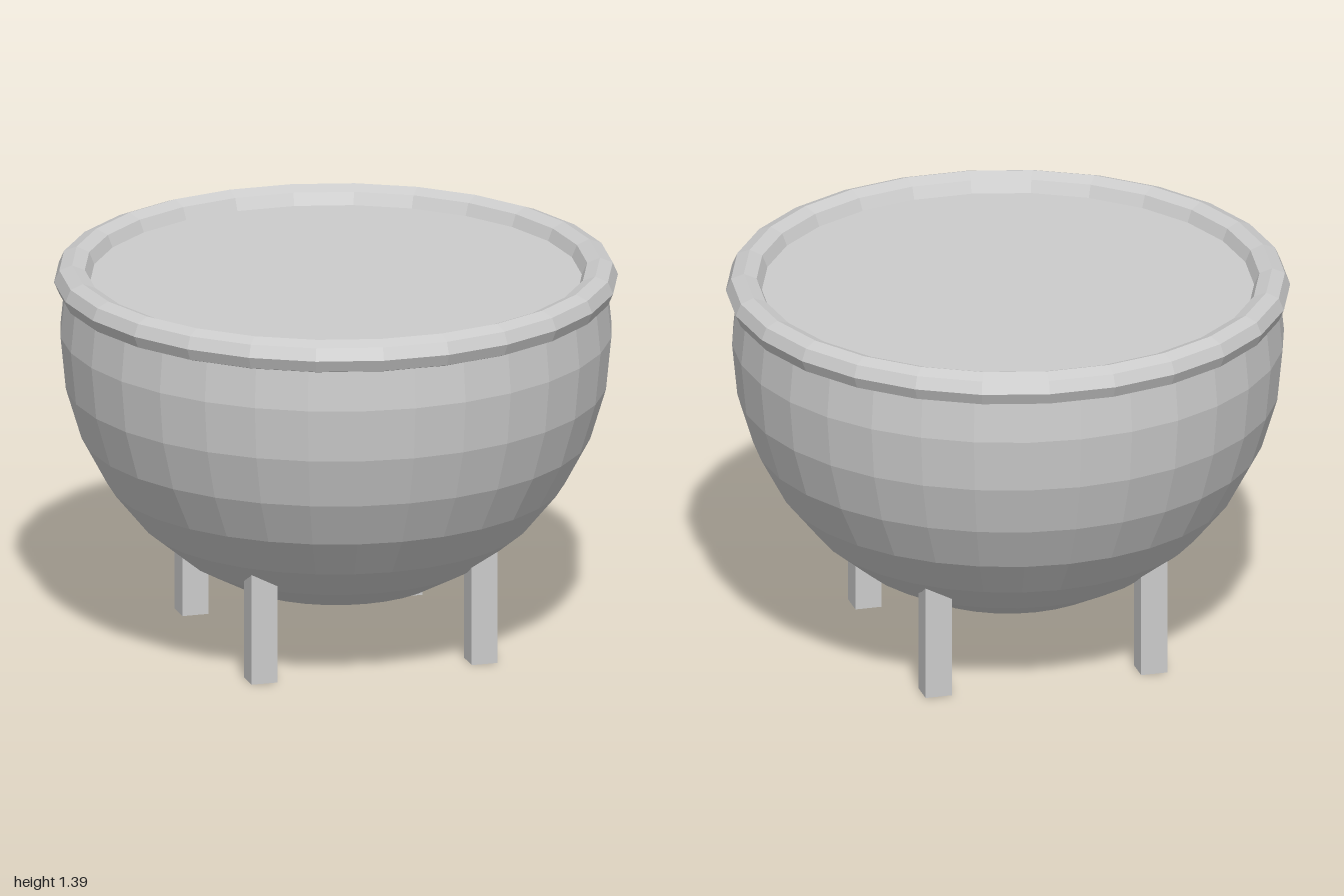
import * as THREE from 'three';

export function createModel() {
  const model = new THREE.Group();
  const material = new THREE.MeshStandardMaterial({ color: 0xcccccc, flatShading: true });

  function add(name, geometry, x, y, z) {
    const mesh = new THREE.Mesh(geometry, material);
    mesh.name = name;
    mesh.position.set(x, y, z);
    model.add(mesh);
    return mesh;
  }

  // Bowl: a faceted sphere cut one ring above its equator
  const radius = 0.98, centreY = 1.14, step = Math.PI / 16;
  add('bowl', new THREE.SphereGeometry(radius, 32, 9, 0, Math.PI * 2, 7 * step, 9 * step), 0, centreY, 0);

  // Flat surface closing the bowl at the cut
  const topY = centreY + radius * Math.sin(step);
  const surface = new THREE.CircleGeometry(radius * Math.cos(step), 32).rotateX(-Math.PI / 2);
  add('surface', surface, 0, topY, 0);

  // Rolled rim
  const rim = new THREE.TorusGeometry(0.936, 0.064, 8, 26).rotateX(-Math.PI / 2);
  add('rim', rim, 0, topY, 0).scale.y = 0.96;

  // Square legs, their tops buried in the bowl
  const legSize = 0.096, legHeight = 0.45;
  const legs = [
    ['frontLeftLeg', 0.412, 0.412],
    ['frontRightLeg', -0.402, 0.412],
    ['backLeftLeg', 0.39, -0.442],
    ['backRightLeg', -0.402, -0.442],
  ];
  for (const [name, x, z] of legs) {
    add(name, new THREE.BoxGeometry(legSize, legHeight, legSize), x, legHeight / 2, z);
  }

  return model;
}
